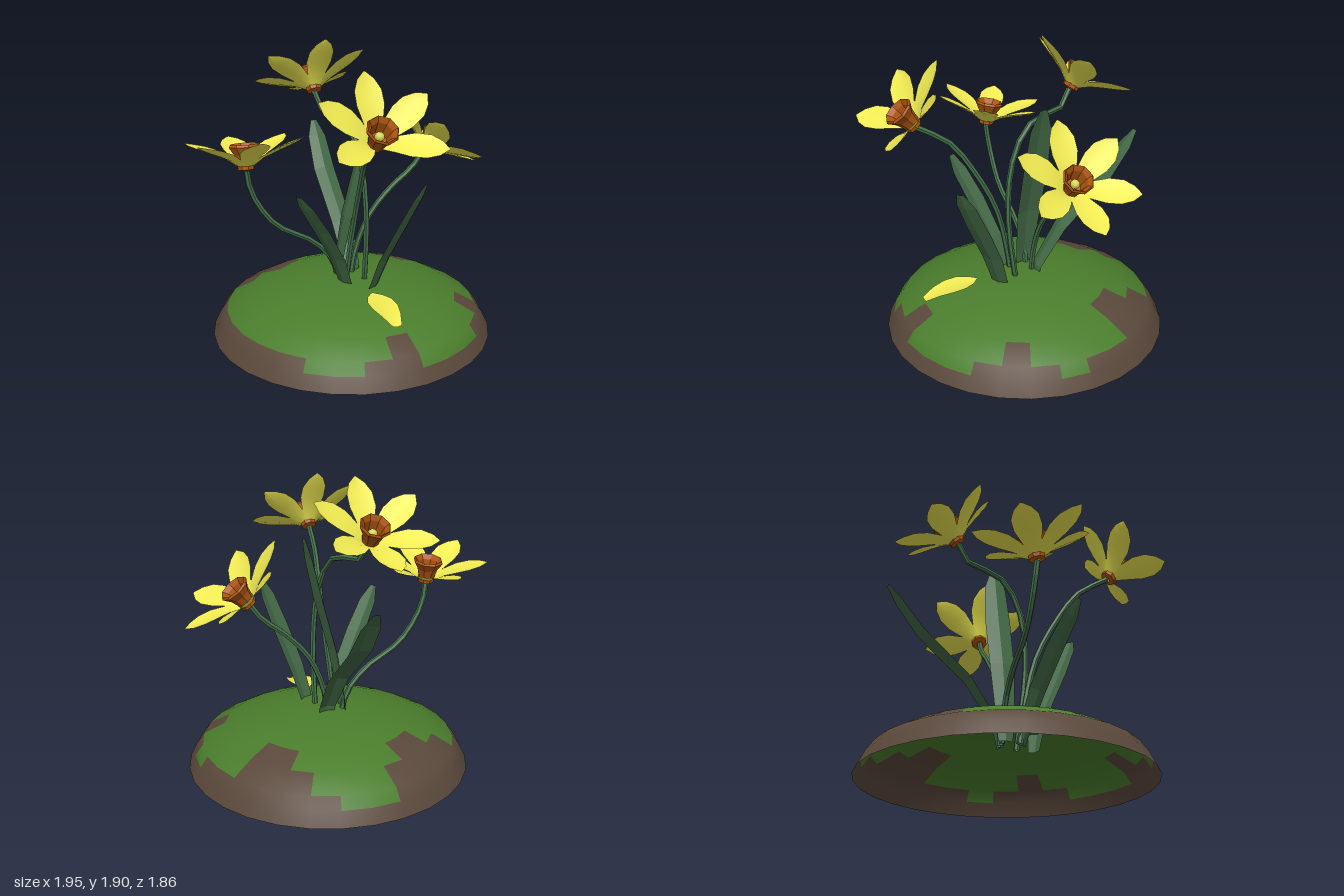
import * as THREE from 'three';

const V = (a) => new THREE.Vector3(...a);
const mat = (color, flat = false) =>
  new THREE.MeshStandardMaterial({ color, flatShading: flat, side: THREE.DoubleSide });
const soilMat = mat(0x5a483b), grassMat = mat(0x4a7d2c), petalMat = mat(0xf0ea52);
const coronaMat = mat(0xb0560f, true), stemMat = mat(0x44704a, true), leafMat = mat(0x426845, true);
const stamenMat = mat(0xd8d850);

function add(parent, name, geometry, material) {
  const mesh = new THREE.Mesh(geometry, material);
  mesh.name = name;
  parent.add(mesh);
  return mesh;
}

// Strip three vertices wide: rows of { c: centre, w: half-width vector, f: midrib offset }
function ribbon(rows) {
  const pos = [], index = [];
  rows.forEach(({ c, w, f }, i) => {
    for (const s of [-1, 0, 1]) {
      const p = c.clone().addScaledVector(w, s);
      if (s === 0) p.add(f);
      pos.push(p.x, p.y, p.z);
    }
    if (i === 0) return;
    for (const k of [0, 1]) {
      const a = (i - 1) * 3 + k, b = a + 3;
      index.push(a, b, a + 1, a + 1, b, b + 1);
    }
  });
  const g = new THREE.BufferGeometry();
  g.setAttribute('position', new THREE.Float32BufferAttribute(pos, 3));
  g.setIndex(index);
  g.computeVertexNormals();
  return g;
}

// Cupped petal pointing along +z and rising: [radius, height, half width]
const petalGeo = ribbon([
  [0.04, 0.03, 0.03], [0.11, 0.085, 0.062], [0.19, 0.125, 0.085],
  [0.27, 0.155, 0.083], [0.335, 0.175, 0.052], [0.378, 0.19, 0.004],
].map(([r, h, w]) => ({ c: V([0, h, r]), w: V([w, 0, 0]), f: V([0, -w * 0.2, w * 0.1]) })));

// Flared cup with a thick rim and a hollow inside
const coronaGeo = new THREE.LatheGeometry([
  [0.02, 0], [0.052, 0.008], [0.055, 0.05], [0.068, 0.1], [0.098, 0.15],
  [0.09, 0.165], [0.066, 0.135], [0.05, 0.06], [0, 0.045],
].map((p) => new THREE.Vector2(...p)), 8);
const stamenGeo = new THREE.SphereGeometry(0.03, 8, 6);

function flower({ at, yaw = 0, tilt, missing = -1 }) {
  const g = new THREE.Group();
  g.name = 'flower';
  g.position.set(...at);
  g.rotation.set(tilt, yaw, 0, 'YXZ');
  for (let k = 0; k < 6; k++) {
    if (k !== missing) add(g, 'petal', petalGeo, petalMat).rotation.y = k * Math.PI / 3;
  }
  add(g, 'corona', coronaGeo, coronaMat);
  add(g, 'stamen', stamenGeo, stamenMat).position.y = 0.09;
  return g;
}

// Leaf blade: path points, horizontal width direction, half width
function leaf({ path, across, half }) {
  const curve = new THREE.CatmullRomCurve3(path.map(V));
  const dir = V(across).normalize();
  const widths = [[0, 0.55], [0.2, 0.75], [0.45, 0.95], [0.7, 1], [0.9, 0.85], [1, 0.3]];
  return ribbon(widths.map(([t, k]) => ({
    c: curve.getPoint(t),
    w: dir.clone().multiplyScalar(half * k),
    f: dir.clone().cross(curve.getTangent(t)).multiplyScalar(0.02 * k),
  })));
}

// Dome with a ragged border between grass and bare soil
function mound() {
  const g = new THREE.Group();
  g.name = 'mound';
  g.position.set(0.055, 0, -0.02);
  const profile = [[0.925, 0], [0.88, 0.09], [0.83, 0.16], [0.69, 0.235], [0.54, 0.29],
    [0.38, 0.33], [0.2, 0.355], [0, 0.36]].map((p) => new THREE.Vector2(...p));
  const segs = 30, bands = profile.length - 1;
  // Lowest grassy band in each wedge, from the left side round by the front
  const level = [1, 2, 3, 2, 1, 1, 1, 3, 2, 1, 1, 2, 2, 2, 2, 2, 2, 2, 3, 4, 4, 3, 1, 1, 2, 3, 4, 4, 2, 2];
  const dome = new THREE.LatheGeometry(profile, segs, Math.PI / 2);
  const all = dome.index.array, grass = [], soil = [];
  for (let i = 0; i < segs; i++) {
    for (let j = 0; j < bands; j++) {
      const start = (i * bands + j) * 6;
      (j >= level[segs - 1 - i] ? grass : soil).push(...all.slice(start, start + 6));
    }
  }
  for (const [name, index, m] of [['grass', grass, grassMat], ['soil', soil, soilMat]]) {
    const part = dome.clone();
    part.setIndex(index);
    add(g, name, part, m);
  }
  return g;
}

export function createModel() {
  const model = new THREE.Group();
  model.name = 'floweringMound';
  model.add(mound());

  // Flower heads: right, back, front (one petal lost), left
  const heads = [
    { at: [-0.63, 1.15, -0.06], tilt: -0.18 },
    { at: [-0.05, 1.53, -0.39], tilt: -0.61 },
    { at: [-0.09, 1.427, 0.643], tilt: 0.735, missing: 0 },
    { at: [0.58, 1.135, -0.05], tilt: 0.7, yaw: Math.PI / 2 },
  ];
  // Stem paths, each ending at the base of its flower head
  const stems = [
    [[0, 0.22, -0.07], [-0.06, 0.46, -0.07], [-0.19, 0.61, -0.07], [-0.45, 0.77, -0.07], [-0.6, 1, -0.07]],
    [[0.11, 0.22, 0.06], [0.1, 0.8, 0.12], [0.08, 1.15, 0.08], [0.05, 1.36, -0.04], [0.02, 1.41, -0.18], [-0.03, 1.43, -0.33]],
    [[-0.02, 0.22, 0.04], [-0.01, 0.5, 0.08], [0, 0.82, 0.16], [-0.02, 1.1, 0.3], [-0.05, 1.3, 0.44]],
    [[0.06, 0.22, -0.06], [0.1, 0.5, -0.06], [0.2, 0.74, -0.06], [0.36, 0.92, -0.06], [0.51, 1.04, -0.055]],
  ];
  heads.forEach((head, i) => {
    model.add(flower(head));
    const curve = new THREE.CatmullRomCurve3([...stems[i], head.at].map(V));
    add(model, 'stem', new THREE.TubeGeometry(curve, 12, 0.019, 6), stemMat);
  });

  const leaves = [
    { path: [[0, 0.22, 0.05], [-0.06, 0.45, 0.1], [-0.22, 0.75, 0.18], [-0.42, 1.06, 0.29]], across: [0.46, 0, 0.88], half: 0.075 },
    { path: [[0.1, 0.22, 0.17], [0.14, 0.45, 0.22], [0.22, 0.78, 0.37], [0.31, 1.12, 0.53]], across: [0.82, 0, -0.57], half: 0.08 },
    { path: [[0.09, 0.22, -0.06], [0.09, 0.5, -0.14], [0.09, 0.9, -0.56], [0.1, 1.23, -0.81]], across: [1, 0, 0], half: 0.075 },
    { path: [[-0.04, 0.22, -0.06], [0, 0.6, -0.06], [0.12, 1.05, -0.06], [0.23, 1.52, -0.06]], across: [0, 0, 1], half: 0.086 },
  ];
  for (const l of leaves) add(model, 'leaf', leaf(l), leafMat);

  // Petal dropped on the grass
  const fallen = add(model, 'fallenPetal', petalGeo, petalMat);
  fallen.position.set(0.05, 0.29, 0.74);
  fallen.rotation.set(0.28, Math.PI, 0, 'YXZ');
  return model;
}
